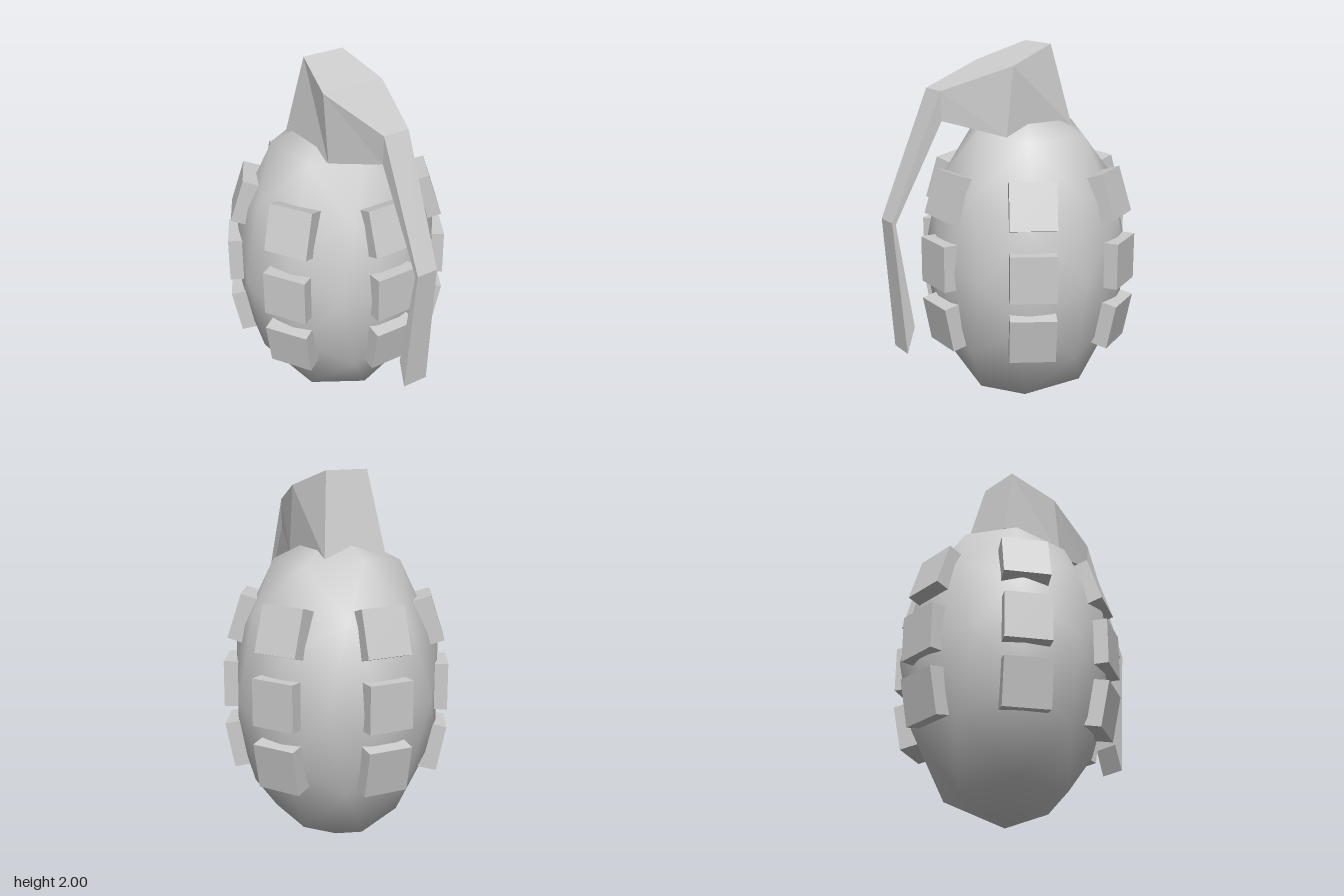
import * as THREE from 'three';

const material = new THREE.MeshStandardMaterial({ color: 0xcccccc });
const flat = new THREE.MeshStandardMaterial({ color: 0xcccccc, flatShading: true });
const CENTER_Z = -0.12;

// Joins four-sided sections; each is [top z, top y, top half-width, bottom z, bottom y, bottom half-width].
function loft(sections, capStart, capEnd) {
  const positions = [];
  const quad = (...corners) => [0, 1, 2, 0, 2, 3].forEach((i) => positions.push(...corners[i]));
  const rings = sections.map(([tz, ty, tw, bz, by, bw]) => [
    [-tw, ty, tz], [tw, ty, tz], [bw, by, bz], [-bw, by, bz],
  ]);
  for (let s = 0; s < rings.length - 1; s++) {
    const a = rings[s], b = rings[s + 1];
    for (let i = 0; i < 4; i++) {
      const j = (i + 1) % 4;
      quad(b[i], b[j], a[j], a[i]);
    }
  }
  if (capStart) quad(...rings[0]);
  if (capEnd) quad(...[...rings[rings.length - 1]].reverse());
  const geometry = new THREE.BufferGeometry();
  geometry.setAttribute('position', new THREE.Float32BufferAttribute(positions, 3));
  geometry.computeVertexNormals();
  return geometry;
}

export function createModel() {
  const model = new THREE.Group();
  const add = (name, geometry, mat, parent = model) => {
    const mesh = new THREE.Mesh(geometry, mat);
    mesh.name = name;
    parent.add(mesh);
    return mesh;
  };

  // Egg-shaped body: a smooth-shaded, once-divided icosahedron
  const bodyGeometry = new THREE.IcosahedronGeometry(1, 1).rotateY(Math.PI / 2);
  const body = add('body', bodyGeometry.scale(0.56, 0.85, 0.56), material);
  body.position.set(0, 0.85, CENTER_Z);

  // Three rows of six raised blocks, tilted to follow the body
  const blocks = new THREE.Group();
  blocks.name = 'gripBlocks';
  blocks.position.z = CENTER_Z;
  model.add(blocks);
  const depth = 0.14;
  const blockGeometry = new THREE.BoxGeometry(0.24, 0.245, depth).translate(0, 0, -depth / 2);
  const rows = [
    { y: 0.55, radius: 0.56, tilt: 0.2 },
    { y: 0.89, radius: 0.585, tilt: 0 },
    { y: 1.255, radius: 0.525, tilt: -0.31 },
  ];
  for (let i = 0; i < 6; i++) {
    const column = new THREE.Group();
    column.name = 'blockColumn';
    column.rotation.y = (i * Math.PI) / 3;
    blocks.add(column);
    for (const { y, radius, tilt } of rows) {
      const block = add('gripBlock', blockGeometry, flat, column);
      block.position.set(0, y, radius);
      block.rotation.x = tilt;
    }
  }

  // Faceted head, narrowing forwards into the lever
  const neck = [0.435, 1.8, 0.072, 0.43, 1.65, 0.072];
  const head = add('head', loft([
    [-0.2, 2.0, 0.117, -0.3, 1.57, 0.175],
    [0.07, 1.91, 0.175, 0.11, 1.55, 0.175],
    neck,
  ], true, false), flat);

  // Thin bent lever hanging down in front
  const lever = add('lever', loft([
    neck,
    [0.715, 1.16, 0.058, 0.695, 1.15, 0.058],
    [0.655, 0.45, 0.071, 0.61, 0.59, 0.071],
  ], false, true), flat);
  head.position.x = lever.position.x = -0.014;

  return model;
}
